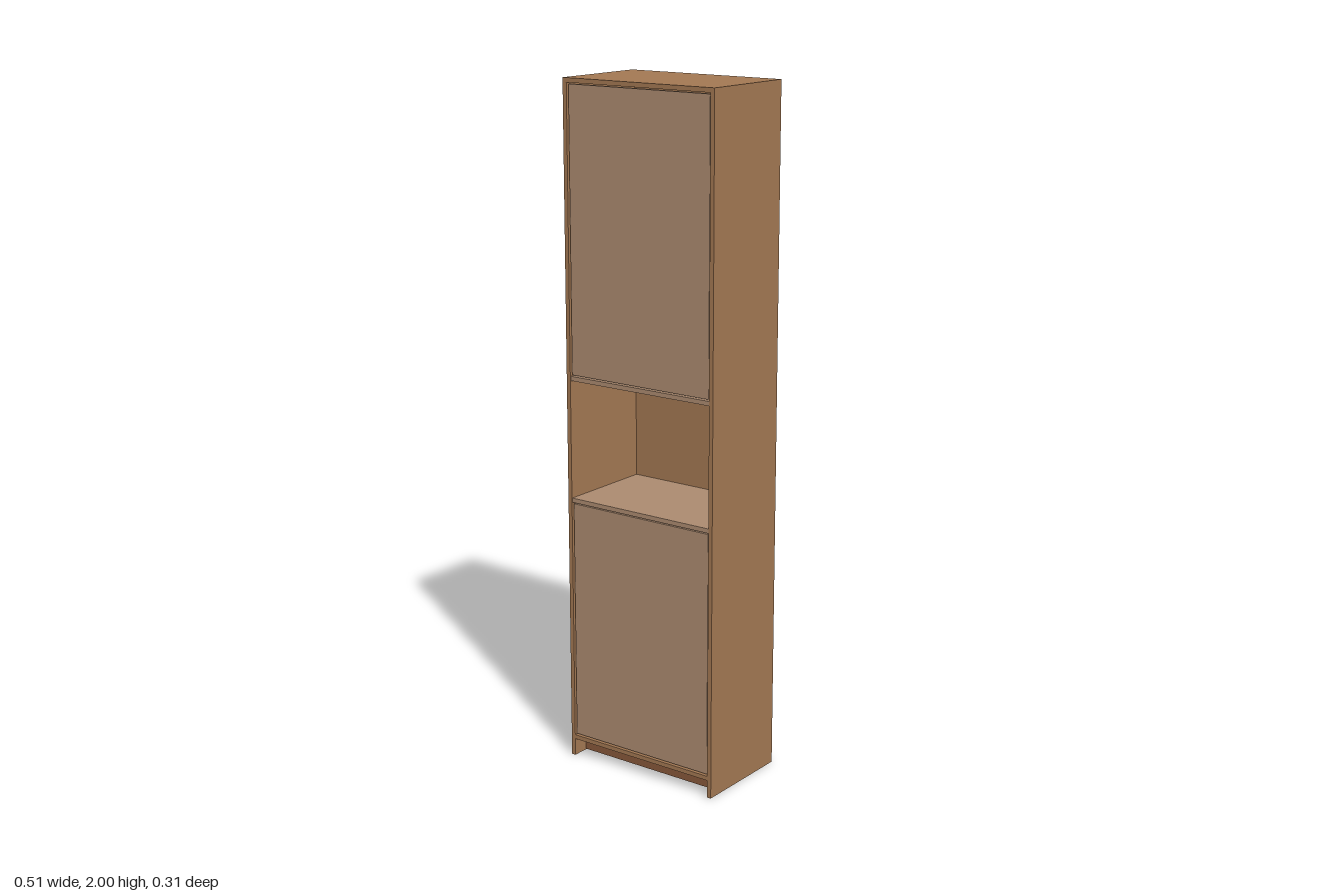
import * as THREE from 'three';

const W = 0.51, H = 2, D = 0.31, T = 0.013; // overall size and board thickness
const IN = W - 2 * T; // clear width between the sides

export function createModel() {
  const group = new THREE.Group();
  const wood = new THREE.MeshStandardMaterial({ color: 0xa37853 });
  const light = new THREE.MeshStandardMaterial({ color: 0xac8b70 });
  const dark = new THREE.MeshStandardMaterial({ color: 0x87583a });

  // Box given by its width, vertical range and depth range
  function board(name, material, w, y0, y1, z0, z1, x = 0) {
    const mesh = new THREE.Mesh(new THREE.BoxGeometry(w, y1 - y0, z1 - z0), material);
    mesh.position.set(x, (y0 + y1) / 2, (z0 + z1) / 2);
    mesh.name = name;
    group.add(mesh);
  }

  const back = -D / 2, front = D / 2, inner = back + 0.006;

  // Carcass
  for (const s of [-1, 1]) {
    board(s > 0 ? 'leftSide' : 'rightSide', wood, T, 0, H, back, front, s * (W - T) / 2);
  }
  board('topPanel', wood, IN, H - T, H, back, front);
  board('backPanel', wood, IN, 0.002, H - T, back, inner);
  board('bottomPanel', wood, IN, 0.052, 0.052 + T, inner, front);

  // Recessed plinth
  board('plinth', dark, IN, 0.002, 0.052, inner, front - 0.05);

  // Shelves below and above the open niche
  board('nicheFloor', light, IN, 0.789, 0.802, inner, front - 0.002);
  board('nicheCeiling', light, IN, 1.15, 1.163, inner, front - 0.002);

  // Inset doors with a narrow gap all round
  const gap = 0.004, doorZ = front - 0.004;
  board('lowerDoor', light, IN - 2 * gap, 0.065 + gap, 0.789 - gap, doorZ - T, doorZ);
  board('upperDoor', light, IN - 2 * gap, 1.163 + gap, H - T - gap, doorZ - T, doorZ);

  return group;
}
